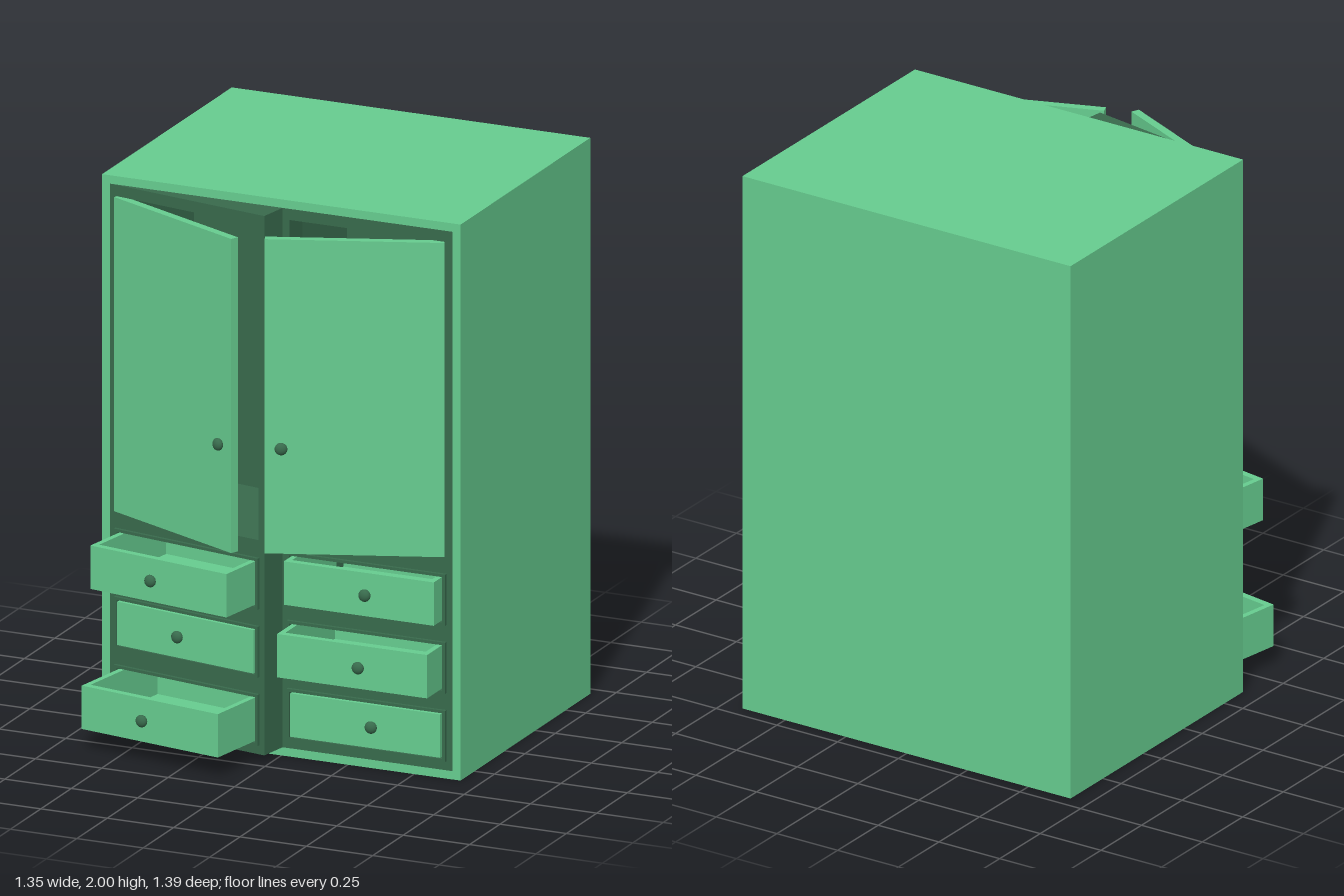
import * as THREE from 'three';

const light = new THREE.MeshStandardMaterial({ color: 0x66cc8f });
const dark = new THREE.MeshStandardMaterial({ color: 0x386a4c });
const rad = THREE.MathUtils.degToRad;

function add(parent, name, geometry, material) {
  const mesh = new THREE.Mesh(geometry, material);
  mesh.name = name;
  parent.add(mesh);
  return mesh;
}

// Box given by its two extreme corners (in any order along x)
function box(parent, name, x0, x1, y0, y1, z0, z1, material) {
  const mesh = add(parent, name, new THREE.BoxGeometry(Math.abs(x1 - x0), y1 - y0, z1 - z0), material);
  mesh.position.set((x0 + x1) / 2, (y0 + y1) / 2, (z0 + z1) / 2);
  return mesh;
}

function rectangle(Type, x0, x1, y0, y1) {
  const a = Math.min(x0, x1), b = Math.max(x0, x1);
  return new Type([[a, y0], [b, y0], [b, y1], [a, y1]].map(p => new THREE.Vector2(...p)));
}

// Flat plate with rectangular openings, from z0 to z1
function plate(parent, name, outer, holes, z0, z1, material) {
  const shape = rectangle(THREE.Shape, ...outer);
  shape.holes = holes.map(h => rectangle(THREE.Path, ...h));
  const geometry = new THREE.ExtrudeGeometry(shape, { depth: z1 - z0, bevelEnabled: false });
  add(parent, name, geometry, material).position.z = z0;
}

function knob(parent, x, y, z) {
  const mesh = add(parent, 'knob', new THREE.SphereGeometry(0.022, 20, 14), dark);
  mesh.scale.z = 0.7;
  mesh.position.set(x, y, z);
}

// Open-topped drawer pulled out to z = pull
function drawer(parent, s, y, pull) {
  const g = new THREE.Group();
  g.name = 'drawer';
  g.position.set(0, y, pull);
  parent.add(g);
  const a = s * 0.04, b = s * 0.605, t = s * 0.02, h = 0.078, back = -0.45;
  box(g, 'drawerFront', a, b, -h, h, -0.025, 0, light);
  box(g, 'drawerBack', a, b, -h, h, back, back + 0.02, light);
  box(g, 'drawerSide', a, a + t, -h, h, back + 0.02, -0.025, light);
  box(g, 'drawerSide', b - t, b, -h, h, back + 0.02, -0.025, light);
  box(g, 'drawerBottom', a + t, b - t, -h, -h + 0.015, back + 0.02, -0.025, light);
  knob(g, s * 0.296, 0, 0.012);
}

// Cupboard over three drawers; x runs from the outer edge towards the middle
function unit(name, s, turn, doorAngle, pulls) {
  const g = new THREE.Group();
  g.name = name;
  g.position.set(-s * 0.645, 0, 0.365);
  g.rotation.y = -s * rad(turn);
  const w = s * 0.64, t = s * 0.02, depth = -0.5;
  const levels = [0.645, 0.4, 0.155];

  const slots = levels.map(y => [s * 0.035, s * 0.61, y - 0.082, y + 0.082]);
  plate(g, 'frontFrame', [0, w, 0.03, 1.97],
    [[s * 0.03, s * 0.615, 0.8, 1.93], ...slots], -0.03, 0, dark);
  box(g, 'unitSide', 0, t, 0.03, 1.97, depth, -0.03, dark);
  box(g, 'unitSide', w - t, w, 0.03, 1.97, depth, -0.03, dark);
  box(g, 'unitBack', t, w - t, 0.03, 1.97, depth, depth + 0.02, dark);
  for (const [y0, y1] of [[0.03, 0.06], [0.265, 0.295], [0.51, 0.54], [0.76, 0.8], [1.93, 1.97]])
    box(g, 'unitShelf', t, w - t, y0, y1, depth + 0.02, -0.03, dark);

  // Raised trim around each drawer
  levels.forEach((y, i) => {
    plate(g, 'drawerTrim', [s * 0.023, s * 0.62, y - 0.092, y + 0.092], [slots[i]], 0, 0.012, dark);
    drawer(g, s, y, pulls[i]);
  });

  // Door standing ajar on its outer hinge
  const door = new THREE.Group();
  door.name = 'door';
  door.position.set(s * 0.025, 0, 0.013);
  door.rotation.y = -s * rad(doorAngle);
  g.add(door);
  box(door, 'doorPanel', 0, s * 0.617, 0.8, 1.93, -0.03, 0, light);
  knob(door, s * 0.56, 1.18, 0.012);
  return g;
}

export function createModel() {
  const model = new THREE.Group();
  model.name = 'wardrobe';

  // Outer case
  plate(model, 'caseWalls', [-0.675, 0.675, 0, 2], [[-0.645, 0.645, 0.03, 1.97]], -0.67, 0.365, light);
  box(model, 'caseBack', -0.675, 0.675, 0, 2, -0.7, -0.67, light);

  // One unit swung out, the other sitting straight
  model.add(unit('swungUnit', 1, 9.8, 15, [0.178, 0.015, 0.23]));
  model.add(unit('straightUnit', -1, 0, 20.6, [0.067, 0.122, 0.015]));
  return model;
}
